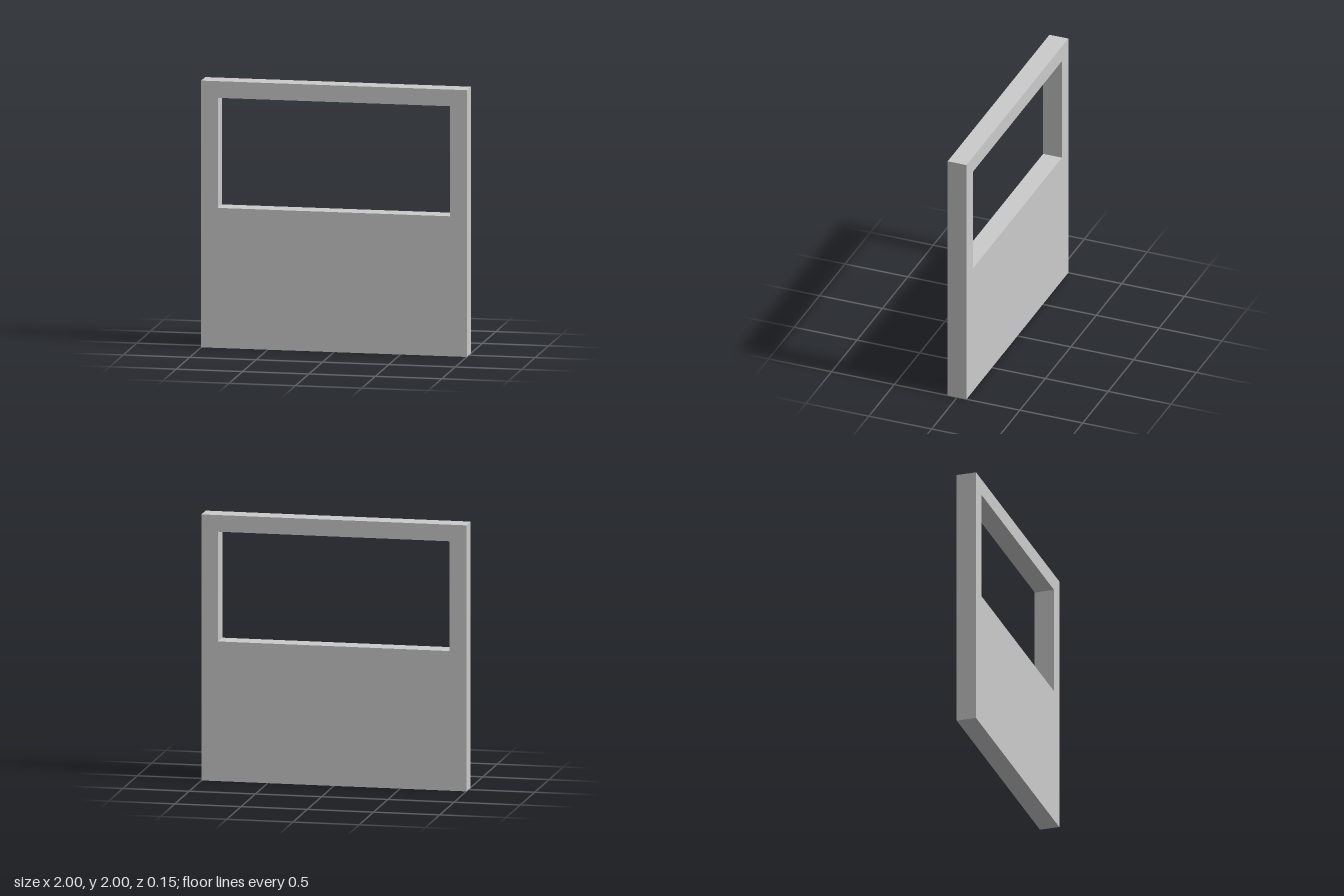
import * as THREE from 'three';

const DEPTH = 0.15;

// Closed rectangle as a list of corner points
function rectangle(x0, y0, x1, y1) {
  return [[x0, y0], [x1, y0], [x1, y1], [x0, y1]].map(([x, y]) => new THREE.Vector2(x, y));
}

export function createModel() {
  const group = new THREE.Group();
  group.name = 'wallWithWindow';

  // Square wall panel with a wide window opening in its upper half
  const outline = new THREE.Shape(rectangle(-1, 0, 1, 2));
  outline.holes.push(new THREE.Path(rectangle(-0.875, 1.05, 0.875, 1.875)));

  const geometry = new THREE.ExtrudeGeometry(outline, { depth: DEPTH, bevelEnabled: false });
  geometry.translate(0, 0, -DEPTH / 2);

  const wall = new THREE.Mesh(
    geometry,
    new THREE.MeshStandardMaterial({ color: 0xcccccc, flatShading: true })
  );
  wall.name = 'wallPanel';
  group.add(wall);

  return group;
}
